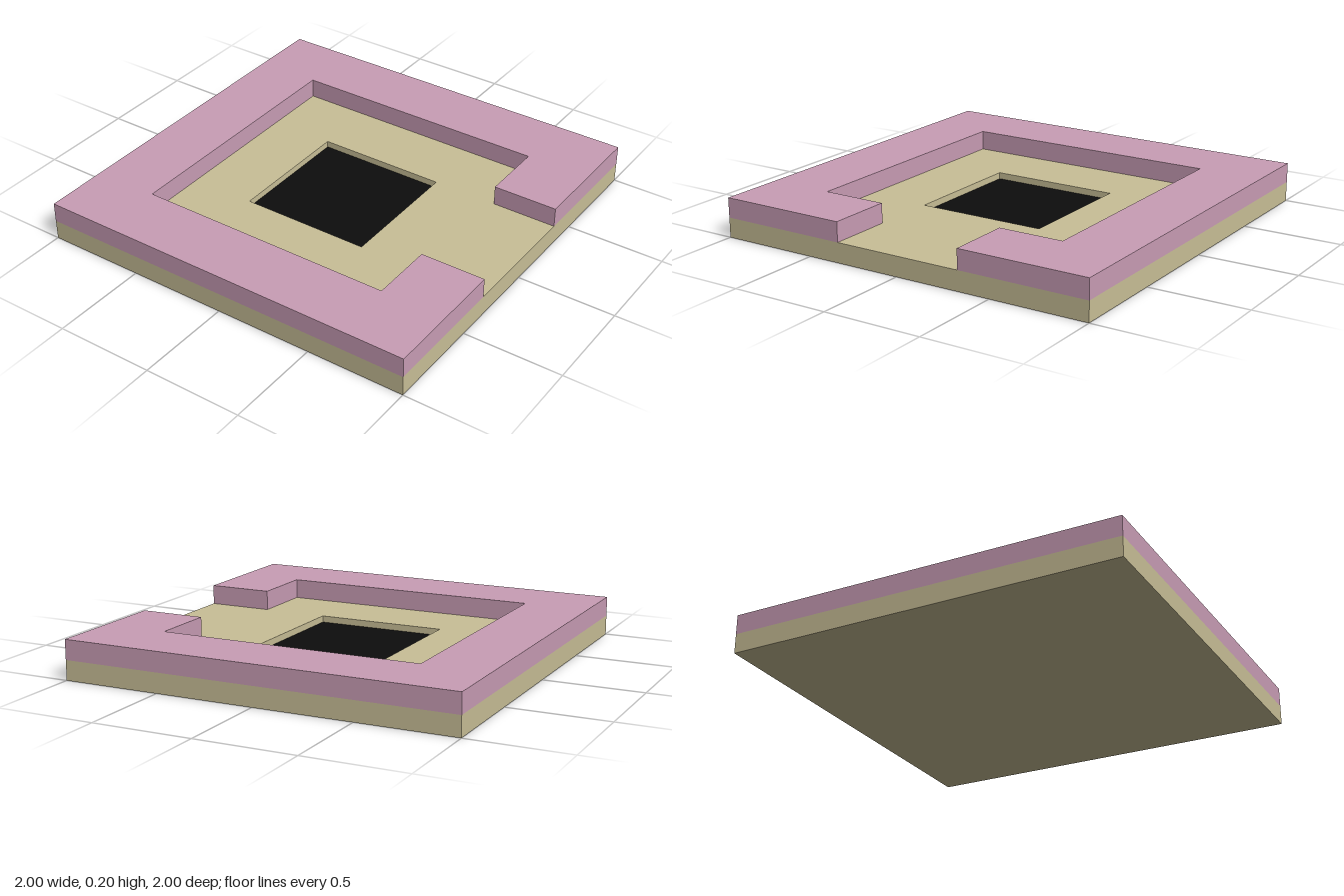
import * as THREE from 'three';

const sand = new THREE.MeshStandardMaterial({ color: 0xc9bf97 });
sand.name = 'sand';
const pink = new THREE.MeshStandardMaterial({ color: 0xc99db5 });
pink.name = 'pink';
const black = new THREE.MeshStandardMaterial({ color: 0x0d0d0d });
black.name = 'black';

const OUTER = 1, INNER = 2 / 3, PIT = 1 / 3; // half widths
const FLOOR = 0.1, TOP = 0.2, PIT_FLOOR = 0.067, PLATE = 0.007;

const square = (r) => [[-r, -r], [r, -r], [r, r], [-r, r]].map(([x, y]) => new THREE.Vector2(x, y));

// Lays a flat outline down and extrudes it from y0 up to y1
function slab(name, shape, y0, y1, material) {
  const geometry = new THREE.ExtrudeGeometry(shape, { depth: y1 - y0, bevelEnabled: false });
  geometry.rotateX(-Math.PI / 2);
  const mesh = new THREE.Mesh(geometry, material);
  mesh.position.y = y0;
  mesh.name = name;
  return mesh;
}

export function createModel() {
  const group = new THREE.Group();
  group.name = 'walledTile';

  // Solid bottom, with the floor around the square pit on top of it
  const pitBottom = PIT_FLOOR - PLATE;
  group.add(slab('base', new THREE.Shape(square(OUTER)), 0, pitBottom, sand));
  const floor = new THREE.Shape(square(OUTER));
  floor.holes.push(new THREE.Path(square(PIT)));
  group.add(slab('floor', floor, pitBottom, FLOOR, sand));

  // Dark sheet at the bottom of the pit
  group.add(slab('pitFloor', new THREE.Shape(square(PIT)), pitBottom, PIT_FLOOR, black));

  // Surrounding wall with an opening on the +x side
  const wall = new THREE.Shape([
    [OUTER, PIT], [OUTER, OUTER], [-OUTER, OUTER], [-OUTER, -OUTER], [OUTER, -OUTER], [OUTER, -PIT],
    [INNER, -PIT], [INNER, -INNER], [-INNER, -INNER], [-INNER, INNER], [INNER, INNER], [INNER, PIT],
  ].map(([x, y]) => new THREE.Vector2(x, y)));
  group.add(slab('wall', wall, FLOOR, TOP, pink));

  return group;
}
